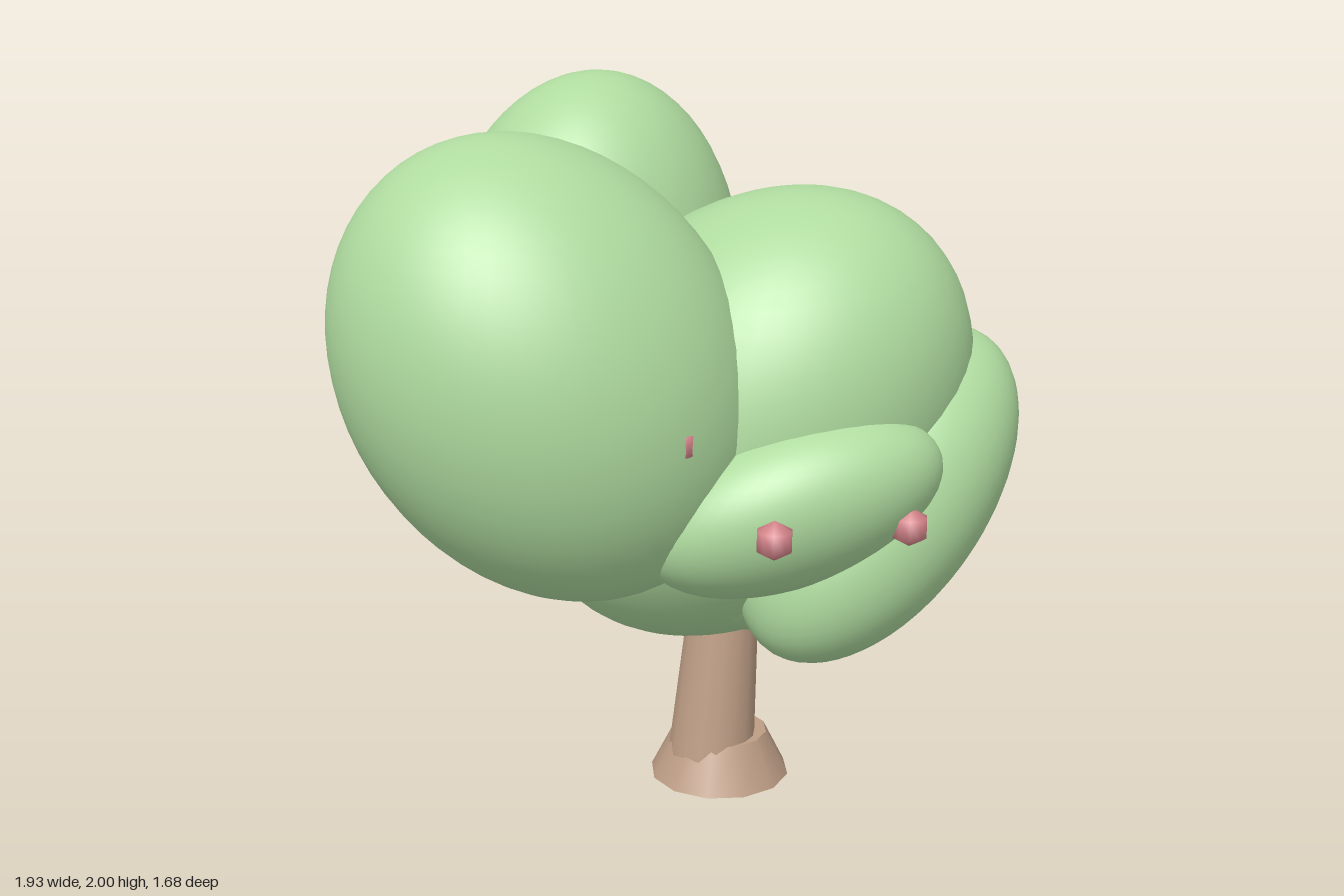
import * as THREE from 'three';

export function createModel() {
  const tree = new THREE.Group();
  tree.name = 'tree';
  const material = (name, color) => {
    const m = new THREE.MeshStandardMaterial({ color });
    m.name = name;
    return m;
  };
  const leaf = material('leafGreen', 0xafdb9f);
  const bark = material('barkBrown', 0xbd9d85);
  const fruit = material('berryPink', 0xd6858b);

  const add = (name, geometry, mat, parent = tree) => {
    const mesh = new THREE.Mesh(geometry, mat);
    mesh.name = name;
    parent.add(mesh);
    return mesh;
  };

  // Leaning ellipsoid: centre, half extents and lean between axis pairs
  // (xy, xz, yz), made by shearing a unit sphere.
  const foliage = new THREE.Group();
  foliage.name = 'foliage';
  tree.add(foliage);
  const clump = (name, [x, y, z], [hx, hy, hz], [xy, xz, yz]) => {
    const b = Math.sqrt(1 - xy * xy);
    const c = (yz - xy * xz) / b;
    const d = Math.sqrt(1 - xz * xz - c * c);
    const shear = new THREE.Matrix4().set(
      hx, 0, 0, x,
      hy * xy, hy * b, 0, y,
      hz * xz, hz * c, hz * d, z,
      0, 0, 0, 1
    );
    add(name, new THREE.SphereGeometry(1, 48, 32).applyMatrix4(shear), leaf, foliage);
  };
  clump('rightClump', [-0.43, 1.31, -0.055], [0.54, 0.615, 0.525], [-0.11, 0.13, -0.18]);
  clump('backClump', [0.11, 1.35, -0.415], [0.46, 0.65, 0.426], [0.04, 0.03, 0.06]);
  clump('centreClump', [0.162, 1.09, 0.125], [0.572, 0.645, 0.615], [0.14, 0.11, 0.25]);
  clump('lowerClump', [0.19, 0.71, 0.02], [0.44, 0.24, 0.5], [0, 0, 0]);
  clump('leftClump', [0.66, 1.07, 0.15], [0.3, 0.34, 0.35], [0.3, -0.08, -0.36]);
  clump('frontClump', [0.265, 0.925, 0.52], [0.43, 0.425, 0.32], [0.55, 0.1, 0.13]);
  clump('smallFrontClump', [-0.1, 0.975, 0.51], [0.35, 0.245, 0.3], [0.25, 0.5, 0.35]);

  // Leaning trunk, its foot hidden in the root flare
  const trunk = add('trunk', new THREE.CylinderGeometry(0.097, 0.126, 0.55, 16), bark);
  trunk.rotation.z = -0.115;
  trunk.position.set(0.122, 0.32, 0.077);

  const flare = add('rootFlare', new THREE.CylinderGeometry(0.137, 0.202, 0.13, 12), bark);
  flare.position.set(0.127, 0.065, 0.08);

  // Berries
  const berries = [
    [-0.33, 0.97, 0.63],
    [0.035, 0.945, 0.785],
    [0.71, 0.81, -0.315],
    [-0.318, 0.935, -0.485],
    [-0.45, 1.21, 0.418],
  ];
  const berryGeometry = new THREE.SphereGeometry(0.053, 10, 3);
  for (const p of berries) add('berry', berryGeometry, fruit).position.set(...p);

  return tree;
}
